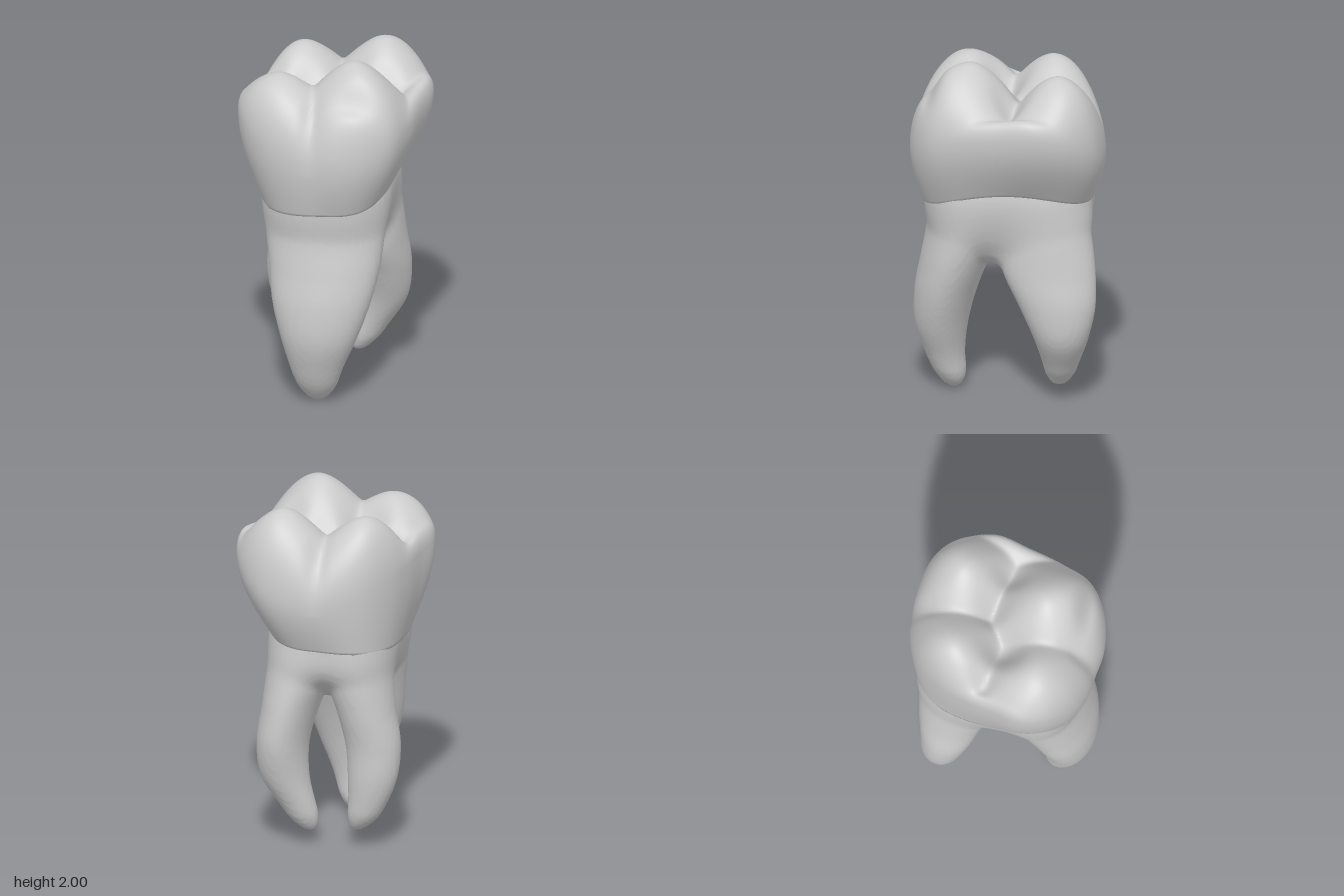
import * as THREE from 'three';

const { lerp, clamp } = THREE.MathUtils;
const material = new THREE.MeshStandardMaterial({ color: 0xcccccc });

// ---------- Crown ----------
// Widest outline of the crown, as [x, z], counter-clockwise from above
const OUTLINE = [
  [0.52, -0.19], [0.456, -0.38], [0.325, -0.505], [0.135, -0.55], [-0.1, -0.526], [-0.275, -0.44],
  [-0.39, -0.29], [-0.45, -0.13], [-0.485, 0.03], [-0.52, 0.205], [-0.465, 0.35], [-0.333, 0.468],
  [-0.187, 0.523], [-0.04, 0.535], [0.09, 0.547], [0.25, 0.51], [0.383, 0.41], [0.456, 0.22], [0.494, 0.015],
];

// Cusps: x, z, peak height, slope
const CUSPS = [
  [0.14, 0.21, 2.0, 1.15],
  [-0.28, 0.25, 1.922, 0.8],
  [0.23, -0.3, 1.965, 1.1],
  [-0.24, -0.25, 1.935, 0.95],
];

// Pits along the middle groove: x, z, depth, width
const PITS = [[-0.16, 0.03, 0.1, 0.11], [0.06, -0.08, 0.05, 0.09], [0.27, -0.03, 0.06, 0.09], [-0.38, -0.04, 0.04, 0.07]];

const gauss = (d, w) => Math.exp(-(d * d) / (w * w));

// Chewing surface: rounded cones meeting in grooves, above a bowl with raised sides
function chewingHeight(x, z) {
  const k = 0.012, e = 0.12;
  let sum = Math.exp((1.63 + 0.85 * x * x) / k);
  for (const [cx, cz, peak, slope] of CUSPS) {
    const len = Math.hypot(cx, cz), dx = x - cx, dz = z - cz;
    let out = (dx * cx + dz * cz) / len;
    const side = (dx * cz - dz * cx) / len;
    if (out > 0) out *= 0.65; // outer slopes are gentler
    sum += Math.exp((peak - slope * (Math.sqrt(out * out + side * side + e * e) - e)) / k);
  }
  let h = k * Math.log(sum) - 0.07 * gauss(x - 0.19, 0.15) * gauss(z - 0.43, 0.055); // ledge on the front
  for (const [px, pz, depth, w] of PITS) h -= depth * gauss(Math.hypot(x - px, z - pz), w);
  return h;
}

function crownGeometry() {
  const SEG = 160, SIDE = 24, TOP = 64;
  const curve = new THREE.CatmullRomCurve3(OUTLINE.map(([x, z]) => new THREE.Vector3(x, 0, z)), true);
  const rim = curve.getSpacedPoints(SEG).slice(0, SEG);
  const pos = [], index = [];

  const add = (x, y, z) => {
    // grooves running down the front and back faces
    const g = z > 0 ? gauss(x + 0.07, 0.05) : gauss(x, 0.05);
    const depth = 0.025 * g * clamp((y - 1.42) / 0.35, 0, 1) * clamp((Math.abs(z) - 0.3) / 0.15, 0, 1);
    pos.push(x, y, z - Math.sign(z) * depth);
  };
  const equator = (p) => 1.48 + 0.75 * p.x * p.x;

  // Lip and flank, from the oval neck up to the widest line
  for (let i = -1; i <= SIDE; i++) {
    const v = Math.max(i, 0) / SIDE, bulge = Math.sin(v * Math.PI / 2);
    for (const p of rim) {
      const q = 2.7, size = (i < 0 ? 0.95 : 1) / (Math.abs(p.x / 0.375) ** q + Math.abs(p.z / 0.482) ** q) ** (1 / q);
      const nx = p.x * size - 0.023, nz = p.z * size;
      const arch = nx > 0 ? 0.3 * nx * (1 - (nz / 0.49) ** 2) : 0.05 * nx;
      const neckY = 1.18 + arch - 0.03 * nz;
      add(lerp(nx, p.x, bulge), lerp(neckY, equator(p), v) + (i < 0 ? 0.01 : 0), lerp(nz, p.z, bulge));
    }
  }
  // Shoulder and chewing surface, from the widest line to the middle
  for (let i = 1; i <= TOP; i++) {
    const r = Math.cos((i / TOP) * Math.PI / 2);
    const rise = Math.sqrt(1 - r ** 8);
    for (const p of rim) {
      const x = p.x * r, z = p.z * r;
      add(x, lerp(equator(p), chewingHeight(x, z), rise), z);
    }
  }
  const rings = pos.length / 3 / SEG;
  for (let i = 0; i < rings - 1; i++) {
    for (let j = 0; j < SEG; j++) {
      const a = i * SEG + j, b = i * SEG + (j + 1) % SEG;
      index.push(a, b, b + SEG, a, b + SEG, a + SEG);
    }
  }
  return build(pos, index);
}

// ---------- Roots ----------
// Cross-sections every 0.2 upwards from start: centre x, centre z, radius x, radius z
const ROOTS = [
  { // front root
    start: 0, tip: 0, power: 2, rows: [
      [-0.05, 0.31, 0.09, 0.08], [-0.05, 0.36, 0.145, 0.11], [-0.035, 0.38, 0.215, 0.15], [-0.025, 0.355, 0.275, 0.175],
      [-0.015, 0.3, 0.312, 0.195], [-0.02, 0.24, 0.335, 0.22], [-0.023, 0.21, 0.34, 0.245], [-0.02, 0.2, 0.3, 0.22]],
  },
  { // back root on the +x side
    start: 0, tip: 0.07, power: 2, rows: [
      [0.05, -0.28, 0.06, 0.06], [0.13, -0.3, 0.095, 0.095], [0.215, -0.31, 0.135, 0.152], [0.23, -0.29, 0.145, 0.215],
      [0.195, -0.24, 0.16, 0.262], [0.145, -0.21, 0.19, 0.265], [0.11, -0.18, 0.2, 0.26], [0.1, -0.17, 0.16, 0.2]],
  },
  { // back root on the -x side
    start: 0, tip: 0.1, power: 2, rows: [
      [-0.15, -0.29, 0.06, 0.06], [-0.235, -0.3, 0.095, 0.085], [-0.28, -0.29, 0.137, 0.12], [-0.28, -0.265, 0.155, 0.15],
      [-0.235, -0.245, 0.165, 0.19], [-0.185, -0.21, 0.19, 0.235], [-0.155, -0.18, 0.2, 0.255], [-0.15, -0.17, 0.16, 0.2]],
  },
  { // trunk joining the three
    start: 0.8, tip: 0.77, power: 2.7, rows: [
      [-0.02, 0.02, 0.22, 0.12], [-0.025, -0.01, 0.325, 0.41], [-0.023, 0, 0.365, 0.465], [-0.02, 0, 0.34, 0.43]],
  },
];

// Smooth interpolation of the cross-section rows at height y, and the gap below the tip
function section({ start, tip, rows }, y) {
  const last = rows.length - 1, t = clamp((y - start) / 0.2, 0, last);
  const i = Math.min(Math.floor(t), last - 1), f = t - i;
  const row = (n) => rows[clamp(n, 0, last)];
  const s = rows[0].map((_, c) => {
    const a = row(i - 1)[c], b = row(i)[c], d = row(i + 1)[c], e = row(i + 2)[c];
    return b + 0.5 * f * (d - a + f * (2 * a - 5 * b + 4 * d - e + f * (3 * (b - d) + e - a)));
  });
  const h = clamp((y - tip) / 0.13, 0, 1); // rounded end
  const cap = Math.max(Math.sqrt(1 - (1 - h) ** 2), 0.01);
  return [s[0], s[1], s[2] * cap, s[3] * cap, Math.max(tip - y, 0)];
}

// Blended distance to all roots, given their sections at one height
function rootField(x, z, sections) {
  let d = 1;
  sections.forEach(([cx, cz, rx, rz, gap], n) => {
    const p = ROOTS[n].power;
    const norm = (Math.abs((x - cx) / rx) ** p + Math.abs((z - cz) / rz) ** p) ** (1 / p);
    const e = (norm - 1) * Math.min(rx, rz) + gap, k = 0.06;
    const h = Math.max(k - Math.abs(d - e), 0) / k;
    d = Math.min(d, e) - h * h * k / 4;
  });
  return d;
}

// Skin the field on a regular grid: one vertex per crossed cell, one quad per crossed edge
function rootsGeometry() {
  const S = 0.02, min = [-0.56, -0.05, -0.6], N = [54, 70, 60];
  const stride = [1, N[0], N[0] * N[1]];
  const field = new Float32Array(N[0] * N[1] * N[2]);
  for (let j = 0; j < N[1]; j++) {
    const sections = ROOTS.map((r) => section(r, min[1] + j * S));
    for (let k = 0; k < N[2]; k++) for (let i = 0; i < N[0]; i++)
      field[i + j * stride[1] + k * stride[2]] = rootField(min[0] + i * S, min[2] + k * S, sections);
  }
  const pos = [], index = [], cell = new Int32Array(field.length).fill(-1);
  const eachCell = (fn) => {
    for (let k = 0; k < N[2] - 1; k++) for (let j = 0; j < N[1] - 1; j++) for (let i = 0; i < N[0] - 1; i++)
      fn([i, j, k], i + j * stride[1] + k * stride[2]);
  };
  eachCell((at, id) => {
    const sum = [0, 0, 0];
    let hits = 0;
    for (let a = 0; a < 3; a++) for (let m = 0; m < 4; m++) {
      const b = (a + 1) % 3, c = (a + 2) % 3, ob = m & 1, oc = m >> 1;
      const p = id + ob * stride[b] + oc * stride[c];
      const f0 = field[p], f1 = field[p + stride[a]];
      if ((f0 < 0) === (f1 < 0)) continue;
      sum[a] += f0 / (f0 - f1); sum[b] += ob; sum[c] += oc;
      hits++;
    }
    if (!hits) return;
    cell[id] = pos.length / 3;
    pos.push(...at.map((n, a) => min[a] + (n + sum[a] / hits) * S));
  });
  eachCell((at, id) => {
    for (let a = 0; a < 3; a++) {
      const b = (a + 1) % 3, c = (a + 2) % 3;
      const inside = field[id] < 0;
      if (inside === field[id + stride[a]] < 0 || !at[b] || !at[c]) continue;
      const q = [id - stride[b] - stride[c], id - stride[c], id, id - stride[b]].map((n) => cell[n]);
      if (!inside) q.reverse();
      index.push(q[0], q[1], q[2], q[0], q[2], q[3]);
    }
  });
  return build(pos, index);
}

function build(pos, index) {
  const g = new THREE.BufferGeometry();
  g.setAttribute('position', new THREE.Float32BufferAttribute(pos, 3));
  g.setIndex(index);
  g.computeVertexNormals();
  return g;
}

export function createModel() {
  const tooth = new THREE.Group();
  tooth.name = 'molarTooth';
  for (const [name, geometry] of [['crown', crownGeometry()], ['roots', rootsGeometry()]]) {
    const mesh = new THREE.Mesh(geometry, material);
    mesh.name = name;
    tooth.add(mesh);
  }
  return tooth;
}
